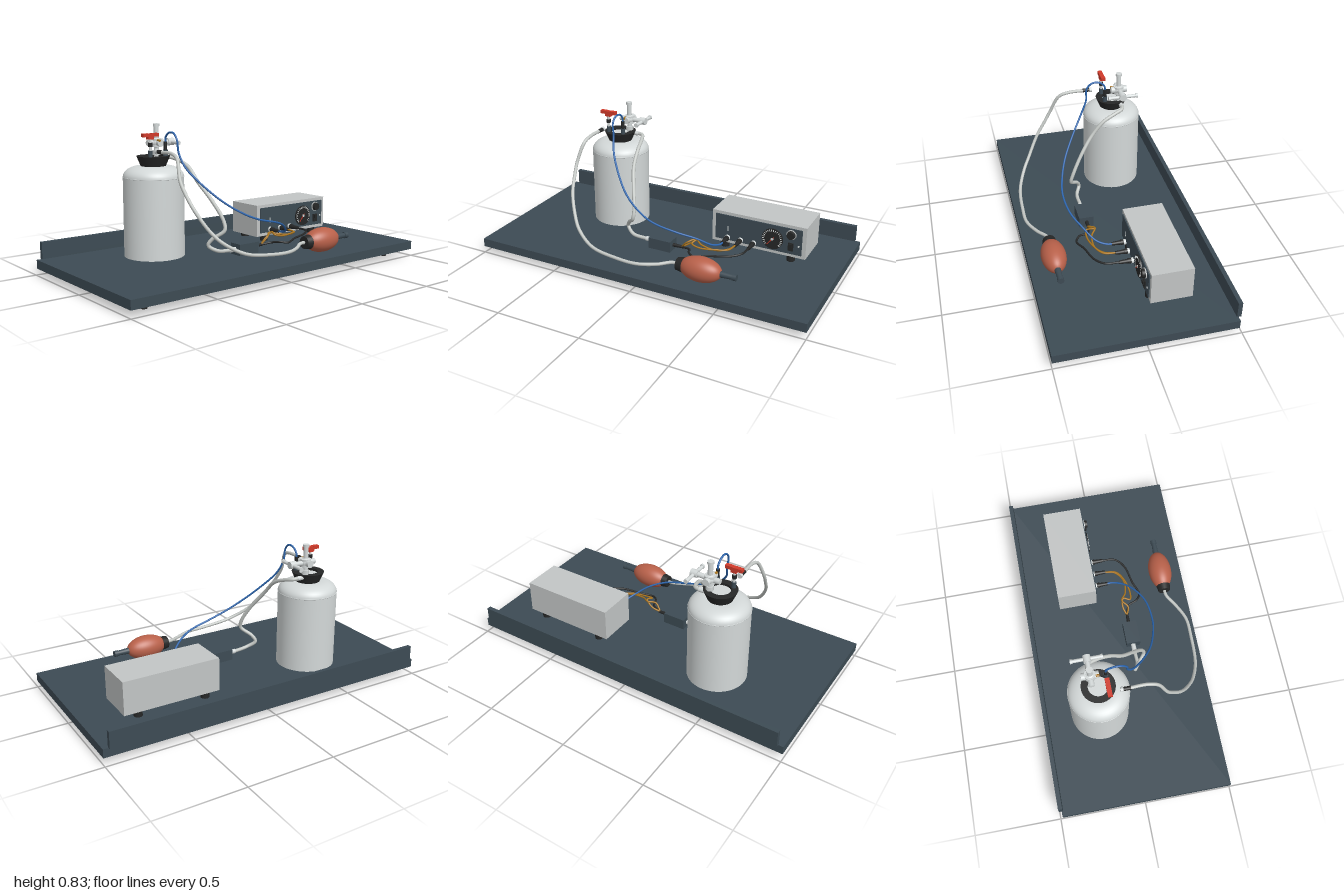
import * as THREE from 'three';

const mat = (name, color, side = THREE.FrontSide) => {
  const m = new THREE.MeshStandardMaterial({ color, side });
  m.name = name;
  return m;
};

export function createModel() {
  const slate = mat('slate', 0x3d4b54);
  const white = mat('pale metal', 0xd3d8d8, THREE.DoubleSide);
  const hose = mat('clear hose', 0xc3c7c4);
  const casing = mat('casing grey', 0xc2c5c5);
  const black = mat('black rubber', 0x262727, THREE.DoubleSide);
  const red = mat('red', 0xd03a2a);
  const terracotta = mat('terracotta', 0xb9614a);
  const blue = mat('blue', 0x2c65ad);
  const ochre = mat('ochre', 0xa8741f);

  const model = new THREE.Group();
  const add = (name, geo, m, x = 0, y = 0, z = 0, parent = model) => {
    const mesh = new THREE.Mesh(geo, m);
    mesh.name = name;
    mesh.position.set(x, y, z);
    parent.add(mesh);
    return mesh;
  };
  // Box given by its limits on each axis
  const box = (name, m, x0, x1, y0, y1, z0, z1) =>
    add(name, new THREE.BoxGeometry(x1 - x0, y1 - y0, z1 - z0), m, (x0 + x1) / 2, (y0 + y1) / 2, (z0 + z1) / 2);
  // Cylinder from point a to point b, with a radius at each end
  const rod = (name, m, a, b, r0, r1 = r0, sides = 24) => {
    const p = new THREE.Vector3(...a), q = new THREE.Vector3(...b);
    const mesh = add(name, new THREE.CylinderGeometry(r1, r0, p.distanceTo(q), sides), m);
    mesh.position.copy(p).add(q).multiplyScalar(0.5);
    mesh.quaternion.setFromUnitVectors(new THREE.Vector3(0, 1, 0), q.sub(p).normalize());
    return mesh;
  };
  const tube = (name, m, r, pts) => {
    const curve = new THREE.CatmullRomCurve3(pts.map(p => new THREE.Vector3(...p)), false, 'centripetal');
    return add(name, new THREE.TubeGeometry(curve, 110, r, 12), m);
  };
  const lathe = (name, m, pts, x, y, z) =>
    add(name, new THREE.LatheGeometry(pts.map(p => new THREE.Vector2(...p)), 56), m, x, y, z);

  // Base board with back rail and feet
  box('baseBoard', slate, -1, 1, 0.04, 0.09, -0.485, 0.5);
  box('backRail', slate, -0.97, 0.97, 0.09, 0.185, -0.5, -0.476);
  for (const x of [-0.865, 0.865])
    for (const z of [-0.375, 0.395]) rod('boardFoot', black, [x, 0, z], [x, 0.04, z], 0.017);

  // Pressure vessel: straight wall, then a rounded shoulder
  const vx = -0.435, vz = -0.165;
  add('vesselWall', new THREE.CylinderGeometry(0.17, 0.17, 0.445, 64), white, vx, 0.3175, vz);
  const shoulder = [];
  for (let i = 0; i <= 10; i++) {
    const a = (i / 10) * Math.PI / 2;
    shoulder.push([0.08 + 0.09 * Math.cos(a), 0.06 * Math.sin(a)]);
  }
  lathe('vesselShoulder', white, [...shoulder, [0.0, 0.062]], vx, 0.54, vz);
  add('shoulderSeam', new THREE.TorusGeometry(0.169, 0.0025, 6, 64).rotateX(Math.PI / 2), white, vx, 0.54, vz);

  // Tapered stopper with pale centre
  add('stopperSide', new THREE.CylinderGeometry(0.093, 0.07, 0.055, 48, 1, true), black, vx, 0.628, vz);
  add('stopperRim', new THREE.RingGeometry(0.056, 0.093, 48).rotateX(-Math.PI / 2), black, vx, 0.6555, vz);
  add('stopperBore', new THREE.CylinderGeometry(0.056, 0.056, 0.03, 48, 1, true), black, vx, 0.6405, vz);
  add('stopperCentre', new THREE.CylinderGeometry(0.056, 0.056, 0.02, 48), white, vx, 0.632, vz);

  // Main valve: stem, body, side arm and cross handle
  const sx = -0.39, sz = -0.2;
  rod('valveStem', white, [sx, 0.63, sz], [sx, 0.82, sz], 0.014);
  rod('valveCap', white, [sx, 0.815, sz], [sx, 0.83, sz], 0.018);
  rod('valveNut', white, [sx, 0.655, sz], [sx, 0.68, sz], 0.022, 0.022, 6);
  const body = add('valveBody', new THREE.SphereGeometry(0.032, 28, 18), white, sx, 0.724, sz);
  body.scale.set(1, 0.9, 1);
  rod('valveCollar', white, [sx, 0.7, sz], [sx, 0.746, sz], 0.03, 0.03);
  rod('bodyArm', white, [sx, 0.724, sz - 0.048], [sx, 0.724, sz + 0.048], 0.02);
  rod('ventArm', white, [sx - 0.06, 0.724, sz], [sx, 0.724, sz], 0.016);
  rod('brassPlug', ochre, [sx - 0.01, 0.738, sz + 0.03], [sx - 0.01, 0.738, sz + 0.05], 0.007);
  rod('sideArm', white, [sx, 0.724, sz], [-0.28, 0.724, sz], 0.014);
  rod('sideArmNut', white, [-0.318, 0.724, sz], [-0.278, 0.724, sz], 0.021);
  rod('crossHandle', white, [-0.297, 0.722, -0.28], [-0.297, 0.722, -0.125], 0.01);
  for (const z of [-0.285, -0.12]) rod('handleEnd', white, [-0.297, 0.722, z - 0.006], [-0.297, 0.722, z + 0.006], 0.013);

  // Vent tap with a red lever
  rod('tapBase', slate, [-0.485, 0.64, -0.115], [-0.485, 0.69, -0.115], 0.012);
  rod('tapStem', white, [-0.485, 0.69, -0.115], [-0.485, 0.76, -0.115], 0.008);
  rod('tapNut', black, [-0.485, 0.712, -0.115], [-0.485, 0.734, -0.115], 0.013, 0.013, 6);
  box('tapLeverHub', red, -0.502, -0.468, 0.752, 0.784, -0.13, -0.105);
  box('tapLeverArm', red, -0.535, -0.495, 0.766, 0.785, -0.13, -0.105);
  box('tapLeverArm', red, -0.475, -0.435, 0.766, 0.785, -0.13, -0.105);

  // Probe port and its blue line
  rod('probePort', slate, [-0.387, 0.64, -0.115], [-0.387, 0.69, -0.115], 0.013);
  rod('probeGrip', black, [-0.387, 0.69, -0.115], [-0.387, 0.735, -0.115], 0.01);
  tube('blueLine', blue, 0.0055, [[-0.387, 0.72, -0.115], [-0.387, 0.758, -0.112], [-0.387, 0.785, -0.08],
    [-0.387, 0.786, -0.035], [-0.387, 0.752, -0.003], [-0.38, 0.68, 0.003], [-0.36, 0.6, 0.04], [-0.29, 0.5, 0.11],
    [-0.2, 0.41, 0.175], [-0.1, 0.345, 0.215], [0, 0.303, 0.234], [0.14, 0.268, 0.22], [0.24, 0.23, 0.17],
    [0.31, 0.18, 0.11], [0.335, 0.162, 0.05], [0.335, 0.16, 0.01]]);

  // Pump hose from the vessel to the hand bulb
  rod('hoseNut', white, [-0.485, 0.69, -0.055], [-0.485, 0.69, -0.04], 0.014);
  rod('hoseGrip', black, [-0.485, 0.69, -0.042], [-0.485, 0.69, 0], 0.011);
  tube('pumpHose', hose, 0.0095, [[-0.485, 0.69, -0.01], [-0.483, 0.69, 0.085], [-0.49, 0.668, 0.145],
    [-0.51, 0.56, 0.2], [-0.505, 0.5, 0.235], [-0.485, 0.41, 0.295], [-0.43, 0.3, 0.36], [-0.38, 0.245, 0.4],
    [-0.27, 0.185, 0.445], [-0.1, 0.16, 0.459], [0.02, 0.155, 0.455], [0.12, 0.155, 0.41], [0.19, 0.163, 0.366], [0.24, 0.164, 0.362]]);

  // Hand bulb
  const bulb = add('handBulb', new THREE.SphereGeometry(1, 40, 28), terracotta, 0.36, 0.163, 0.362);
  bulb.scale.set(0.122, 0.07, 0.07);
  rod('bulbCollar', black, [0.222, 0.163, 0.362], [0.258, 0.163, 0.362], 0.036, 0.042);
  rod('bulbNeck', slate, [0.465, 0.163, 0.362], [0.55, 0.163, 0.362], 0.019, 0.014);
  rod('bulbNozzle', slate, [0.545, 0.163, 0.362], [0.568, 0.163, 0.362], 0.018);

  // Sensor hose from the stopper to the small box
  rod('hosePort', white, [-0.4, 0.64, -0.205], [-0.33, 0.638, -0.205], 0.013);
  tube('sensorHose', hose, 0.0105, [[-0.36, 0.639, -0.205], [-0.305, 0.637, -0.2], [-0.28, 0.624, -0.15],
    [-0.263, 0.59, -0.075], [-0.25, 0.51, 0], [-0.21, 0.41, 0.075], [-0.175, 0.3, 0.135], [-0.178, 0.25, 0.147],
    [-0.23, 0.2, 0.1], [-0.245, 0.165, 0.085], [-0.2, 0.132, 0.108], [-0.12, 0.122, 0.108], [-0.07, 0.122, 0.108]]);
  rod('sensorNipple', white, [-0.11, 0.122, 0.108], [-0.07, 0.122, 0.108], 0.014);
  box('sensorBox', slate, -0.072, 0.066, 0.09, 0.155, 0.068, 0.152);
  rod('cableGrip', black, [0.066, 0.122, 0.108], [0.13, 0.122, 0.108], 0.011, 0.008);

  // Cables from the sensor box to the control unit
  tube('ochreCable', ochre, 0.005, [[0.12, 0.122, 0.108], [0.17, 0.15, 0.09], [0.21, 0.185, 0.1], [0.2, 0.175, 0.14],
    [0.25, 0.165, 0.15], [0.34, 0.165, 0.13], [0.4, 0.16, 0.09], [0.415, 0.16, 0.01]]);
  tube('ochreCable', ochre, 0.005, [[0.12, 0.122, 0.108], [0.16, 0.165, 0.12], [0.2, 0.18, 0.09], [0.25, 0.17, 0.12],
    [0.34, 0.16, 0.125], [0.4, 0.16, 0.08], [0.415, 0.16, 0.01]]);
  tube('blackCable', black, 0.006, [[0.12, 0.122, 0.108], [0.18, 0.13, 0.13], [0.2, 0.14, 0.18], [0.24, 0.135, 0.207],
    [0.32, 0.145, 0.18], [0.43, 0.155, 0.15], [0.485, 0.16, 0.1], [0.495, 0.16, 0.01]]);

  // Control unit
  box('unitCasing', casing, 0.235, 0.8, 0.123, 0.315, -0.293, -0.062);
  box('unitPanel', slate, 0.258, 0.777, 0.143, 0.297, -0.063, -0.055);
  for (const x of [0.31, 0.71])
    for (const z of [-0.085, -0.265]) rod('unitFoot', black, [x, 0.09, z], [x, 0.124, z], 0.024);
  for (const x of [0.335, 0.415, 0.495]) {
    rod('socketWasher', white, [x, 0.16, -0.056], [x, 0.16, -0.042], 0.016);
    rod('plug', black, [x, 0.16, -0.044], [x, 0.16, -0.025], 0.015);
    rod('plugBody', black, [x, 0.16, -0.03], [x, 0.16, 0.025], 0.013, 0.01);
  }

  // Round dial with tick marks and needle
  const dial = new THREE.Group();
  dial.name = 'dial';
  dial.position.set(0.607, 0.215, -0.055);
  model.add(dial);
  add('dialFace', new THREE.CylinderGeometry(0.062, 0.062, 0.008, 48).rotateX(Math.PI / 2), black, 0, 0, 0.004, dial);
  for (let i = 0; i < 22; i++) {
    const a = -0.7 + (i / 21) * (Math.PI + 1.4);
    const tick = add('dialTick', new THREE.BoxGeometry(0.011, 0.004, 0.002), white, 0.053 * Math.cos(a), 0.053 * Math.sin(a), 0.009, dial);
    tick.rotation.z = a;
  }
  const needle = add('dialNeedle', new THREE.BoxGeometry(0.06, 0.005, 0.002), red, -0.01, -0.012, 0.01, dial);
  needle.rotation.z = 0.9;
  add('dialHub', new THREE.CylinderGeometry(0.008, 0.008, 0.004, 20).rotateX(Math.PI / 2), white, 0, 0, 0.011, dial);

  // Knob, switch and lamp
  rod('knobRing', casing, [0.715, 0.262, -0.056], [0.715, 0.262, -0.05], 0.029);
  rod('knob', black, [0.715, 0.262, -0.052], [0.715, 0.262, -0.034], 0.025, 0.022);
  box('switchPlate', black, 0.7, 0.73, 0.165, 0.212, -0.056, -0.047);
  box('switchRocker', black, 0.705, 0.725, 0.188, 0.208, -0.048, -0.04);
  rod('lamp', white, [0.76, 0.2, -0.056], [0.76, 0.2, -0.05], 0.005);
  box('panelMark', white, 0.332, 0.338, 0.2, 0.232, -0.056, -0.053);

  return model;
}
